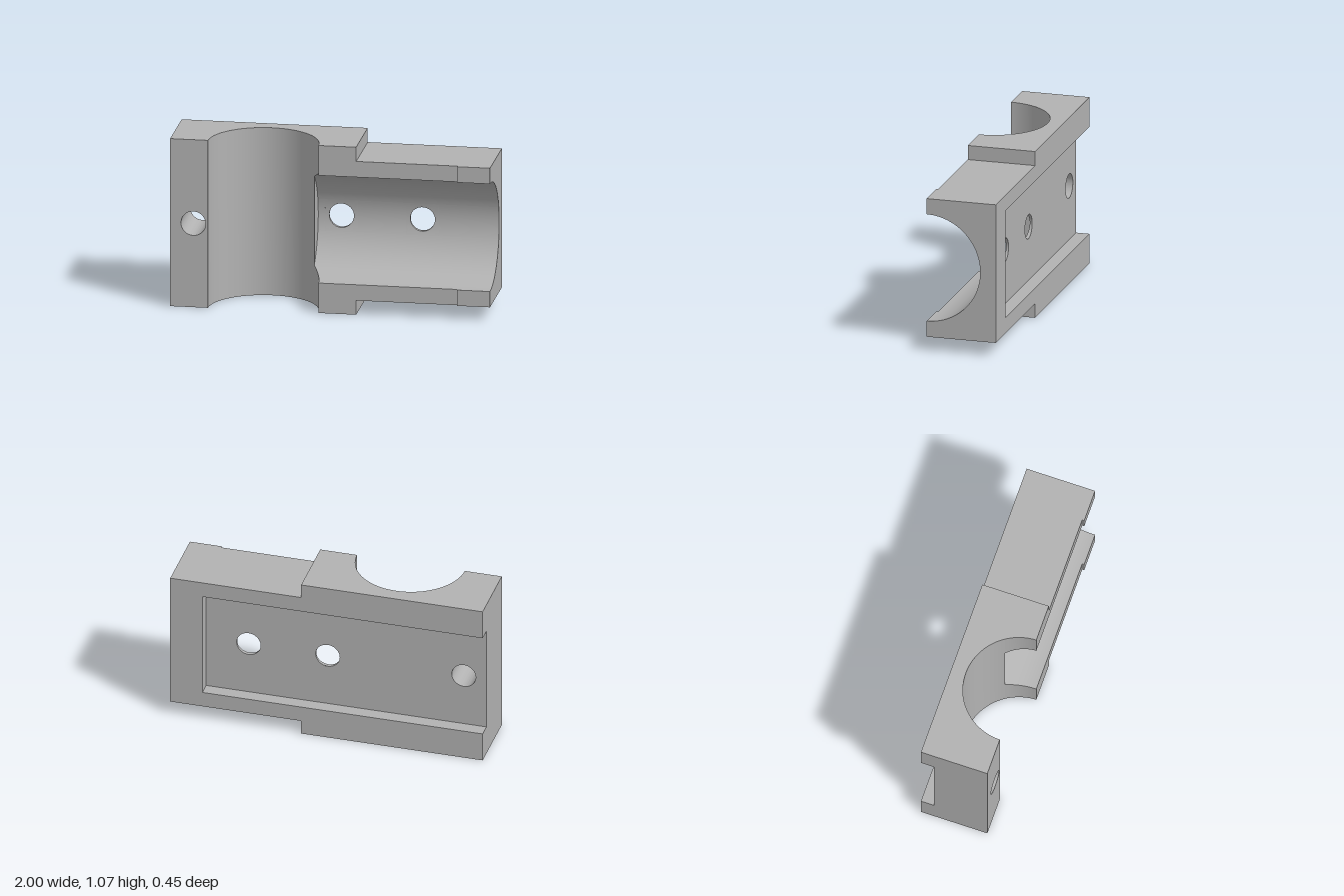
import * as THREE from 'three';
import { toCreasedNormals } from 'three/addons/utils/BufferGeometryUtils.js';

const H = 1.074, CY = H / 2;            // full height, mid height
const BACK = -0.223, FLOOR = -0.137;    // back face, pocket floor
const FRONT = 0.21, LIP = 0.223;        // front face, raised lip
const R = 0.345;                        // radius of both half bores
const VX = -0.419, VZ = 0.215;          // axis of the upright bore
const BZ = 0.223;                       // axis depth of the lying bore
const WALL = -0.13;                     // flat end of the lying bore
const STEP = 0.162, END = 0.794;        // shoulder step, lip start / pocket end
const ARM = 0.091;                      // arm inset at top and bottom
const HOLE = 0.077;

const phiWall = -Math.acos((WALL - VX) / R);
const phiFront = Math.asin((FRONT - VZ) / R);
const zWall = VZ + R * Math.sin(phiWall);
const thWall = Math.acos((BZ - zWall) / R);
const thFront = Math.acos((BZ - FRONT) / R);
const TH = 0.3;                         // half angle of the strip holding the screw holes

export function createModel() {
  const model = new THREE.Group();
  const grey = new THREE.MeshStandardMaterial({ color: 0xb2b2b2, side: THREE.DoubleSide });
  grey.name = 'grey';

  const add = (name, geometry) => {
    const mesh = new THREE.Mesh(geometry, grey);
    mesh.name = name;
    model.add(mesh);
    return mesh;
  };
  const shapeOf = (pts) => new THREE.Shape(pts.map(([x, y]) => new THREE.Vector2(x, y)));
  const rect = (x0, y0, x1, y1) => shapeOf([[x0, y0], [x1, y0], [x1, y1], [x0, y1]]);
  const punch = (shape, x) => {
    shape.holes.push(new THREE.Path().absarc(x, CY, HOLE, 0, Math.PI * 2, true));
    return shape;
  };
  const extrude = (shape, depth) => toCreasedNormals(
    new THREE.ExtrudeGeometry(shape, { depth, bevelEnabled: false, curveSegments: 48 }), 0.5);
  // Upright extrusion of an x,z outline
  const upright = (pts, y0, y1) => extrude(shapeOf(pts.map(([x, z]) => [x, -z])), y1 - y0)
    .rotateX(-Math.PI / 2).translate(0, y0, 0);
  const box = (name, x0, x1, y0, y1, z0, z1) => add(name, new THREE.BoxGeometry(x1 - x0, y1 - y0, z1 - z0)
    .translate((x0 + x1) / 2, (y0 + y1) / 2, (z0 + z1) / 2));
  // Smooth sheet from a rule giving a point for u, v in 0..1
  const sheet = (name, nu, nv, rule) => {
    const g = new THREE.PlaneGeometry(1, 1, nu, nv);
    const p = g.attributes.position;
    for (let i = 0; i < p.count; i++) p.setXYZ(i, ...rule(p.getX(i) + 0.5, p.getY(i) + 0.5));
    g.computeVertexNormals();
    return add(name, g);
  };
  const lerp = THREE.MathUtils.lerp;
  const arc = (a, b, n) => Array.from({ length: n + 1 }, (_, i) => {
    const t = lerp(a, b, i / n);
    return [VX + R * Math.cos(t), VZ + R * Math.sin(t)];
  });
  const onBore = (x, th) => [x, CY + R * Math.sin(th), BZ - R * Math.cos(th)];
  const boreStart = (th) => {
    const z = BZ - R * Math.cos(th);
    return z <= zWall + 1e-6 ? WALL : VX + Math.sqrt(R * R - (z - VZ) ** 2);
  };

  // Back rim around the pocket, open at the right end
  const py = CY - R - 0.001;
  add('backRim', extrude(shapeOf([
    [-1, 0], [STEP, 0], [STEP, ARM], [1, ARM], [1, H - ARM], [STEP, H - ARM], [STEP, H], [-1, H],
    [-1, H - py], [END, H - py], [END, py], [-1, py],
  ]), FLOOR - BACK).translate(0, 0, BACK));

  // Post with its screw hole
  const postX = VX - R * Math.cos(phiFront);
  add('endPost', extrude(punch(rect(-1, 0, postX, H), -0.855), FRONT - FLOOR).translate(0, 0, FLOOR));

  // Upright half bore
  add('uprightCradle', upright(
    [[postX, FLOOR], [WALL, FLOOR], ...arc(phiWall, -Math.PI - phiFront, 56)], 0, H));

  // Pocket floor behind the lying bore
  const floorShape = rect(WALL, py, END, H - py);
  const holes = [0.016, 0.522];
  holes.forEach((x) => punch(floorShape, x));
  add('pocketFloor', new THREE.ShapeGeometry(floorShape, 48).translate(0, 0, FLOOR));

  // Shoulders, arm rails and lips, below and above the lying bore
  const shoulder = [[WALL, FLOOR], [STEP, FLOOR], [STEP, FRONT], ...arc(phiFront, phiWall, 12)];
  const low = CY - R, high = CY + R;
  add('lowerShoulder', upright(shoulder, 0, low));
  add('upperShoulder', upright(shoulder, high, H));
  box('lowerRail', STEP, 1, ARM, low, FLOOR, FRONT);
  box('upperRail', STEP, 1, high, H - ARM, FLOOR, FRONT);
  box('lowerLip', END, 1, ARM, low, FRONT, LIP);
  box('upperLip', END, 1, high, H - ARM, FRONT, LIP);

  // Side bands of the lying bore and the corners where the bores meet
  for (const s of [-1, 1]) {
    for (const [a, b] of [[TH, thWall], [thWall, thFront]]) {
      sheet('boreBand', 1, 18, (u, v) => {
        const th = lerp(a, b, v);
        return onBore(lerp(boreStart(th), 1, u), s * th);
      });
    }
    sheet('boreCorner', 16, 1, (u, v) => {
      const t = lerp(phiWall, phiFront, u);
      const z = VZ + R * Math.sin(t);
      const edge = Math.sqrt(R * R - (z - BZ) ** 2);
      return [VX + R * Math.cos(t), CY + s * lerp(edge, R, v), z];
    });
  }

  // Middle strip of the lying bore, with patches around the screw holes
  const half = R * Math.sin(TH);
  const cuts = [WALL, ...holes.flatMap((x) => [x - half, x + half]), 1];
  for (let i = 0; i < cuts.length; i += 2) {
    sheet('boreStrip', 1, 16, (u, v) => onBore(lerp(cuts[i], cuts[i + 1], u), lerp(-TH, TH, v)));
  }
  for (const x of holes) {
    sheet('holeSurround', 64, 4, (u, v) => {
      const a = u * Math.PI * 2, c = Math.cos(a), n = Math.sin(a);
      const k = 1 / Math.max(Math.abs(c), Math.abs(n));
      return onBore(x + lerp(HOLE * c, half * c * k, v),
        lerp(Math.asin(HOLE * n / R), TH * n * k, v));
    });
    sheet('screwHole', 64, 1, (u, v) => {
      const a = u * Math.PI * 2, dy = HOLE * Math.sin(a);
      return [x + HOLE * Math.cos(a), CY + dy, lerp(FLOOR, BZ - Math.sqrt(R * R - dy * dy), v)];
    });
  }

  // Open end face of the arm, between the rails
  const endPts = [[low, FLOOR], [high, FLOOR]];
  for (let i = 0; i <= 48; i++) {
    const [, y, z] = onBore(1, lerp(thFront, -thFront, i / 48));
    endPts.push([y, z]);
  }
  sheet('armEnd', 48, 1, (u, v) => {
    const [, y, z] = onBore(1, lerp(-Math.PI / 2, Math.PI / 2, u));
    return [1, y, lerp(FLOOR, z, v)];
  });
  return model;
}
